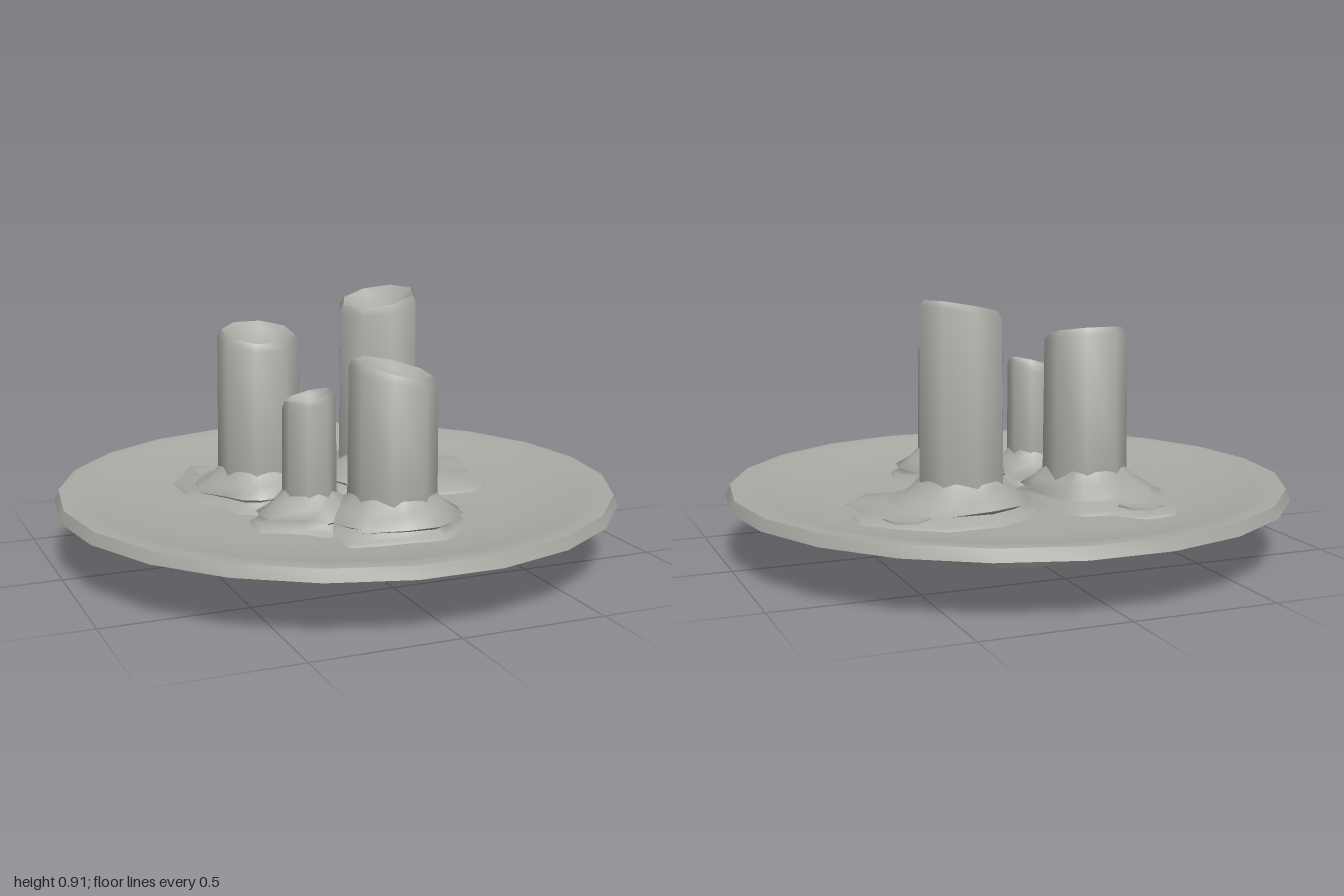
import * as THREE from 'three';
import { toCreasedNormals } from 'three/addons/utils/BufferGeometryUtils.js';

const FLOOR = 0.185;
const grey = new THREE.MeshStandardMaterial({ color: 0xaaa9a4 });
grey.name = 'warmGrey';

function part(name, geometry) {
  const mesh = new THREE.Mesh(geometry, grey);
  mesh.name = name;
  return mesh;
}

const profile = (pairs) => pairs.map(([r, y]) => new THREE.Vector2(r, y));

// Height of the dish's inner surface at a given radius
function floorAt(r) {
  if (r < 0.6) return FLOOR;
  return FLOOR + (Math.min(r, 0.75) - 0.6) * 0.1;
}

// Shallow 22-sided dish on a small foot
function makeDish() {
  const geo = new THREE.LatheGeometry(profile([
    [0, 0], [0.335, 0], [0.37, 0.05], [1, 0.2], [0.985, 0.24], [0.94, 0.24],
    [0.88, 0.226], [0.75, 0.2], [0.6, FLOOR], [0, FLOOR],
  ]), 22);
  geo.rotateY(Math.PI / 2);
  return part('dish', toCreasedNormals(geo, 0.7));
}

// Eight-sided candle with a hollow, slanted top
function makeCandle({ name, x, z, r, top, tilt, turn }) {
  const geo = new THREE.LatheGeometry(profile([
    [r * 1.06, FLOOR], [r * 1.03, 0.3], [r, top - 0.025], [r * 0.9, top],
    [r * 0.78, top - 0.012], [r * 0.5, top - 0.05], [0, top - 0.055],
  ]), 8);
  geo.rotateY(turn);
  const p = geo.attributes.position;
  for (let i = 0; i < p.count; i++) {
    if (p.getY(i) > top - 0.1) {
      p.setY(i, p.getY(i) + tilt[0] * p.getX(i) + tilt[1] * p.getZ(i));
    }
  }
  geo.translate(x, 0, z);
  return part(name, toCreasedNormals(geo, 1.0));
}

// Melted wax: rings blending from an irregular outline up to the candle's foot
function makePool({ name, x, z, r, outline }) {
  const cols = outline
    .map(([px, pz]) => ({ px, pz, a: Math.atan2(pz - z, px - x) }))
    .sort((m, n) => m.a - n.a);
  const count = cols.length;
  const rings = [[0, 0, -0.01], [0, 0.02, 0.012], [0.5, 0, 0.028], [1, 0.09, 0.04], [1, 0.035, 0.072], [1, -0.005, 0.115]];
  const pos = [], index = [];
  rings.forEach(([t, inset, h]) => cols.forEach(({ px, pz, a }) => {
    const outer = Math.hypot(px - x, pz - z);
    let d = t === 1 ? Math.min(r + inset, outer * 0.9) : THREE.MathUtils.lerp(outer, r, t) - inset;
    d = Math.max(d, r * 0.96);
    const vx = x + d * Math.cos(a), vz = z + d * Math.sin(a);
    pos.push(vx, floorAt(Math.hypot(vx, vz)) + h, vz);
  }));
  for (let k = 0; k < rings.length - 1; k++) {
    for (let i = 0; i < count; i++) {
      const j = (i + 1) % count;
      const a = k * count + i, b = k * count + j, c = a + count, d = b + count;
      index.push(a, c, b, b, c, d);
    }
  }
  const geo = new THREE.BufferGeometry();
  geo.setAttribute('position', new THREE.Float32BufferAttribute(pos, 3));
  geo.setIndex(index);
  geo.computeVertexNormals();
  return part(name, geo);
}

const flat = Math.PI / 8;
const candles = [
  {
    name: 'backRightCandle', x: -0.24, z: -0.14, r: 0.145, top: 0.78, tilt: [0, -0.18], turn: flat,
    outline: [[-0.38, -0.58], [-0.28, -0.56], [-0.2, -0.46], [-0.1, -0.44], [-0.03, -0.38], [-0.03, -0.1],
      [0, 0.02], [-0.12, 0.09], [-0.24, 0.1], [-0.33, 0.13], [-0.4, 0.1], [-0.43, 0], [-0.55, -0.15],
      [-0.5, -0.25], [-0.5, -0.39]],
  },
  {
    name: 'backLeftCandle', x: 0.235, z: -0.165, r: 0.148, top: 0.88, tilt: [0.2, -0.1], turn: 0,
    outline: [[-0.03, -0.27], [0.07, -0.4], [0.2, -0.47], [0.4, -0.47], [0.52, -0.41], [0.65, -0.31],
      [0.64, -0.17], [0.58, -0.1], [0.6, 0.05], [0.5, 0.15], [0.3, 0.12], [0.15, 0.07], [0, 0.02], [-0.03, -0.1]],
  },
  {
    name: 'frontCandle', x: 0.05, z: 0.38, r: 0.148, top: 0.72, tilt: [-0.2, -0.1], turn: flat,
    outline: [[-0.2, 0.3], [-0.15, 0.15], [0, 0], [0.2, 0.08], [0.26, 0.25], [0.31, 0.4], [0.29, 0.5],
      [0.2, 0.59], [0.13, 0.65], [0, 0.63], [-0.2, 0.6], [-0.2, 0.5], [-0.25, 0.4]],
  },
  {
    name: 'smallCandle', x: -0.2, z: 0.25, r: 0.09, top: 0.622, tilt: [0.22, 0.08], turn: flat,
    outline: [[-0.4, 0.18], [-0.33, 0.13], [-0.15, 0.09], [0, 0.1], [0, 0.3], [-0.06, 0.42], [-0.2, 0.48],
      [-0.28, 0.4], [-0.41, 0.32], [-0.41, 0.24]],
  },
];

export function createModel() {
  const model = new THREE.Group();
  model.name = 'candleDish';
  model.add(makeDish());
  for (const c of candles) {
    model.add(makeCandle(c), makePool({ ...c, name: c.name + 'Wax' }));
  }
  // Small flat spots in the set wax
  for (const [x, z] of [[-0.32, -0.42], [0.48, -0.31]]) {
    const spot = part('waxSpot', new THREE.CylinderGeometry(0.085, 0.09, 0.03, 8));
    spot.position.set(x, FLOOR + 0.012, z);
    model.add(spot);
  }
  return model;
}
